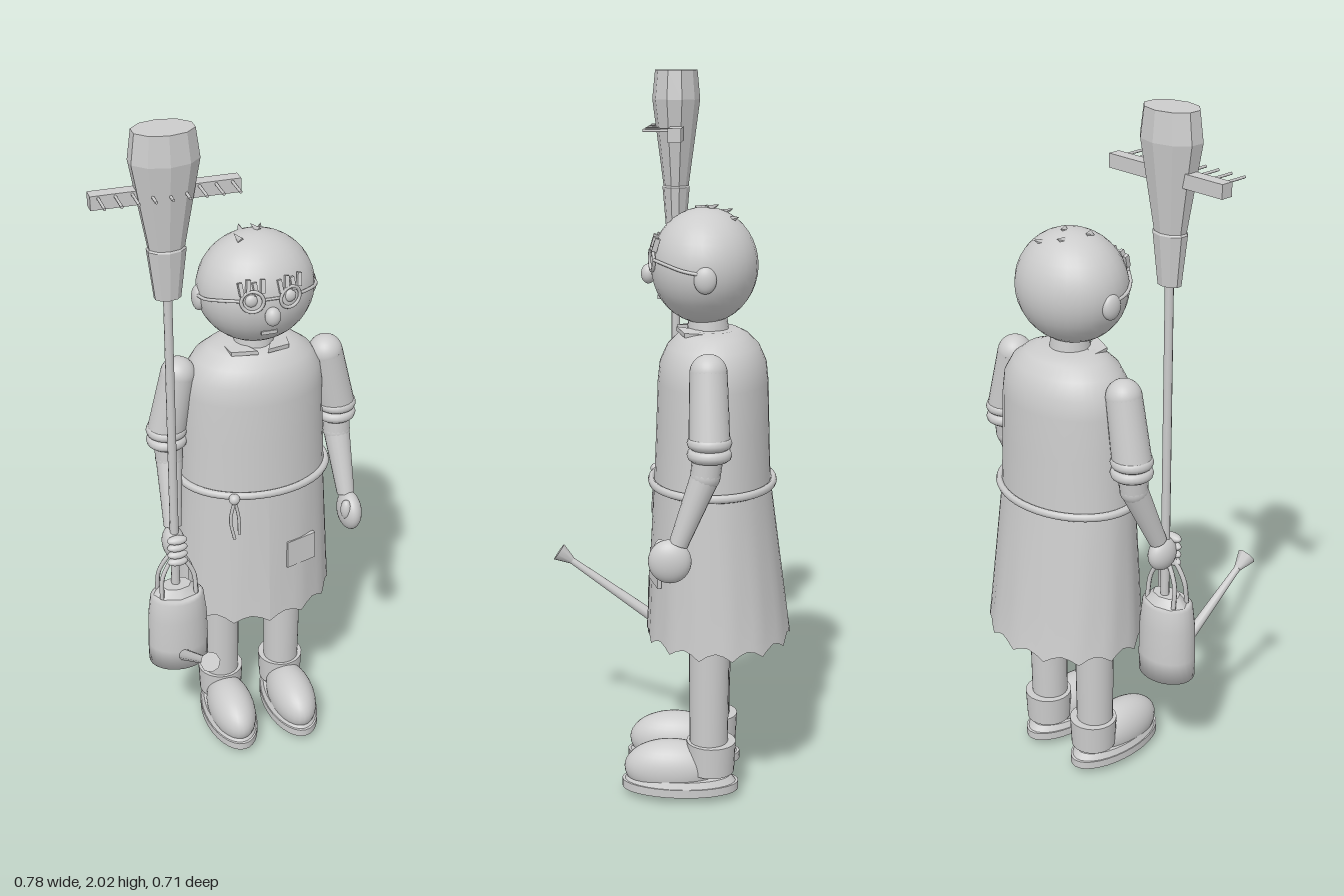
import * as THREE from 'three';

const V = (x, y, z) => new THREE.Vector3(x, y, z);
const plain = new THREE.MeshStandardMaterial({ color: 0xcccccc, side: THREE.DoubleSide });
plain.name = 'plainGrey';

export function createModel() {
  const root = new THREE.Group();
  root.name = 'gardener';
  const add = (name, geo, x = 0, y = 0, z = 0, s = [1, 1, 1]) => {
    const m = new THREE.Mesh(geo, plain);
    m.name = name;
    m.position.set(x, y, z);
    m.scale.set(...s);
    root.add(m);
    return m;
  };
  const ball = (name, x, y, z, rx, ry = rx, rz = rx) =>
    add(name, new THREE.SphereGeometry(1, 28, 20), x, y, z, [rx, ry, rz]);
  // Tapered rod between two points
  const rod = (name, a, b, r0, r1, seg = 16) => {
    const d = b.clone().sub(a);
    const m = add(name, new THREE.CylinderGeometry(r1, r0, d.length(), seg));
    m.position.copy(a).addScaledVector(d, 0.5);
    m.quaternion.setFromUnitVectors(V(0, 1, 0), d.normalize());
    return m;
  };
  const tube = (name, pts, r) =>
    add(name, new THREE.TubeGeometry(new THREE.CatmullRomCurve3(pts), 20, r, 6));
  const lathe = (pts, seg) => new THREE.LatheGeometry(pts.map(p => new THREE.Vector2(...p)), seg);
  const cx = 0.072;

  // Torso
  add('torso', lathe([[0, 1.315], [0.09, 1.315], [0.13, 1.3], [0.17, 1.27], [0.197, 1.225], [0.205, 1.17],
    [0.21, 1.05], [0.218, 0.89]], 40), cx, 0, -0.13, [1, 1, 0.745]);
  add('neck', new THREE.CylinderGeometry(0.05, 0.06, 0.08, 20), cx, 1.33, -0.115);

  // Collar flaps
  for (const s of [-1, 1]) {
    const flap = new THREE.Shape();
    flap.moveTo(s * 0.015, 0.075);
    flap.lineTo(s * 0.085, 0.05);
    flap.lineTo(s * 0.095, -0.02);
    flap.lineTo(s * 0.045, 0.01);
    const m = add('collarFlap', new THREE.ExtrudeGeometry(flap, { depth: 0.012, bevelEnabled: false }), cx, 1.322, -0.105);
    m.rotation.set(Math.PI / 2, s * -0.1, 0);
  }

  // Flared apron skirt with a scalloped hem
  const skirt = new THREE.CylinderGeometry(1, 1, 1, 56, 6, true);
  const p = skirt.attributes.position;
  for (let i = 0; i < p.count; i++) {
    const t = 0.5 - p.getY(i), a = Math.atan2(p.getX(i), p.getZ(i));
    const hem = t > 0.99 ? 0.022 * Math.abs(Math.sin(a * 7)) : 0;
    const fold = 1 + 0.012 * t * Math.cos(a * 14);
    p.setXYZ(i, cx + Math.sin(a) * (0.215 + 0.03 * t) * fold, 0.89 - 0.453 * t + hem,
      -0.13 - 0.02 * t + Math.cos(a) * (0.163 + 0.04 * t) * fold);
  }
  skirt.computeVertexNormals();
  add('skirt', skirt);

  // Rope belt with knot and tails
  const belt = add('belt', new THREE.TorusGeometry(0.222, 0.012, 8, 48), cx, 0.89, -0.13, [1, 0.77, 1]);
  belt.rotation.x = Math.PI / 2;
  ball('beltKnot', -0.033, 0.888, 0.035, 0.016);
  tube('beltTail', [V(-0.033, 0.885, 0.038), V(-0.045, 0.82, 0.038), V(-0.035, 0.755, 0.044)], 0.005);
  tube('beltTail', [V(-0.033, 0.885, 0.038), V(-0.022, 0.83, 0.04), V(-0.02, 0.77, 0.043)], 0.005);
  const patch = add('pocket', new THREE.BoxGeometry(0.1, 0.088, 0.012), 0.176, 0.658, 0.022);
  patch.rotation.set(-0.04, 0.3, 0);

  // Head
  ball('head', cx, 1.487, -0.105, 0.165, 0.157, 0.146);
  ball('nose', cx, 1.463, 0.048, 0.022, 0.027, 0.02);
  add('mouth', new THREE.BoxGeometry(0.045, 0.01, 0.012), cx, 1.402, 0.016);
  for (const s of [-1, 1]) {
    const ex = cx + s * 0.053;
    ball('ear', cx + s * 0.16, 1.467, -0.113, 0.018, 0.036, 0.03);
    ball('eye', ex, 1.508, 0.027, 0.018, 0.018, 0.012);
    add('glassesRim', new THREE.TorusGeometry(0.03, 0.005, 6, 24), ex, 1.508, 0.035).rotation.y = s * 0.25;
    tube('glassesArm', [V(cx + s * 0.084, 1.51, 0.026), V(cx + s * 0.128, 1.502, -0.01),
      V(cx + s * 0.158, 1.49, -0.055), V(cx + s * 0.168, 1.48, -0.115)], 0.005);
    // Bushy brow made of small tufts
    for (let i = 0; i < 4; i++) {
      const tuft = add('browTuft', new THREE.BoxGeometry(0.011, 0.036, 0.014),
        ex + (i - 1.5) * 0.019, 1.542 + (i % 2) * 0.008, 0.033 - 0.004 * Math.abs(s * (i - 1.5) + 1.5));
      tuft.rotation.set(-0.3, 0, (i % 2 ? -1 : 1) * 0.12);
    }
  }
  rod('glassesBridge', V(cx - 0.024, 1.512, 0.04), V(cx + 0.024, 1.512, 0.04), 0.004, 0.004, 6);

  // Sparse hairs on the crown
  for (const [x, z, r] of [[0.018, -0.095, 0.4], [0.047, -0.165, 0], [0.077, -0.13, 0.5], [0.11, -0.185, -0.5]]) {
    const y = 1.487 + 0.157 * Math.sqrt(1 - ((x - cx) / 0.165) ** 2 - ((z + 0.105) / 0.146) ** 2);
    const hair = add('hair', new THREE.ConeGeometry(0.012, 0.034, 4), x, y + 0.003, z);
    hair.rotation.set(-1.2, r, 0, 'YXZ');
  }

  // Arms with rolled sleeves
  const arm = (side, sh, cuff, elbow, wrist) => {
    ball(side + 'Shoulder', sh.x, sh.y, sh.z, 0.05);
    rod(side + 'UpperArm', cuff, sh, 0.055, 0.05, 24);
    for (const dy of [0, -0.032]) {
      const roll = add(side + 'SleeveRoll', new THREE.TorusGeometry(0.042, 0.018, 10, 24), cuff.x, cuff.y + dy, cuff.z);
      roll.rotation.x = Math.PI / 2;
    }
    rod(side + 'Elbow', elbow, cuff, 0.04, 0.042);
    ball(side + 'ElbowJoint', elbow.x, elbow.y, elbow.z, 0.04);
    rod(side + 'Forearm', wrist, elbow, 0.026, 0.039);
  };
  arm('left', V(0.291, 1.233, -0.125), V(0.33, 1.055, -0.13), V(0.332, 0.965, -0.12), V(0.342, 0.78, -0.05));
  arm('right', V(-0.147, 1.233, -0.125), V(-0.183, 1.055, -0.13), V(-0.181, 0.965, -0.12), V(-0.197, 0.78, -0.04));
  ball('leftHand', 0.346, 0.733, -0.027, 0.034, 0.06, 0.058);
  ball('leftThumb', 0.325, 0.755, 0.0, 0.016, 0.032, 0.018);
  ball('rightHand', -0.2, 0.735, -0.025, 0.033, 0.05, 0.048);
  for (let i = 0; i < 4; i++) ball('rightFinger', -0.2, 0.77 - i * 0.025, 0.018, 0.03, 0.013, 0.016);

  // Legs, ankle cuffs and shoes
  for (const s of [-1, 1]) {
    const x = cx + s * 0.1;
    add('leg', new THREE.CylinderGeometry(0.06, 0.054, 0.62, 24), x, 0.42, -0.128);
    add('ankleCuff', new THREE.CylinderGeometry(0.07, 0.066, 0.09, 24), x, 0.1, -0.135);
    ball('shoe', x, 0.06, -0.022, 0.07, 0.082, 0.135);
    add('sole', new THREE.CylinderGeometry(0.08, 0.08, 0.024, 32), x, 0.012, -0.047, [1, 1, 2.08]);
    add('welt', new THREE.CylinderGeometry(0.07, 0.078, 0.02, 32), x, 0.032, -0.047, [1, 1, 2.05]);
  }

  // Upturned broom: pole, bristle head and binding
  const px = -0.2, pz = -0.012;
  rod('broomPole', V(px, 0.58, pz), V(px, 1.6, pz), 0.013, 0.012, 10);
  const flat = g => { const n = g.toNonIndexed(); n.computeVertexNormals(); return n; };
  add('broomHead', flat(lathe([[0, 1.535], [0.037, 1.535], [0.054, 1.675], [0.05, 1.68], [0.094, 1.92], [0.083, 2], [0, 2]], 10)),
    px, 0, pz, [1, 1, 0.72]);

  // Rake bar with tines
  add('rakeBar', new THREE.BoxGeometry(0.394, 0.038, 0.036), px + 0.002, 1.828, -0.018);
  for (let i = 0; i < 9; i++)
    rod('rakeTine', V(-0.374 + i * 0.0437, 1.84, -0.005), V(-0.374 + i * 0.0437, 1.84, 0.07), 0.004, 0.004, 6);

  // Watering can: body, lid, carrying handle and spout
  add('canBody', lathe([[0, 0.333], [0.09, 0.333], [0.091, 0.4], [0.088, 0.5], [0.08, 0.565], [0.07, 0.572], [0, 0.572]], 24),
    px, 0, 0, [1, 1, 0.8]);
  add('canLid', new THREE.CylinderGeometry(0.045, 0.075, 0.03, 8), px, 0.582, -0.005, [1, 1, 0.7]);
  for (const z of [-0.03, 0.025])
    tube('canHandle', [V(px - 0.052, 0.575, z), V(px - 0.045, 0.65, z * 0.7), V(px, 0.71, z * 0.4),
      V(px + 0.045, 0.65, z * 0.7), V(px + 0.052, 0.575, z)], 0.007);
  rod('spout', V(px, 0.375, 0.055), V(px, 0.557, 0.312), 0.018, 0.01, 10);
  rod('spoutRose', V(px, 0.55, 0.302), V(px, 0.577, 0.342), 0.011, 0.029, 8);
  return root;
}
